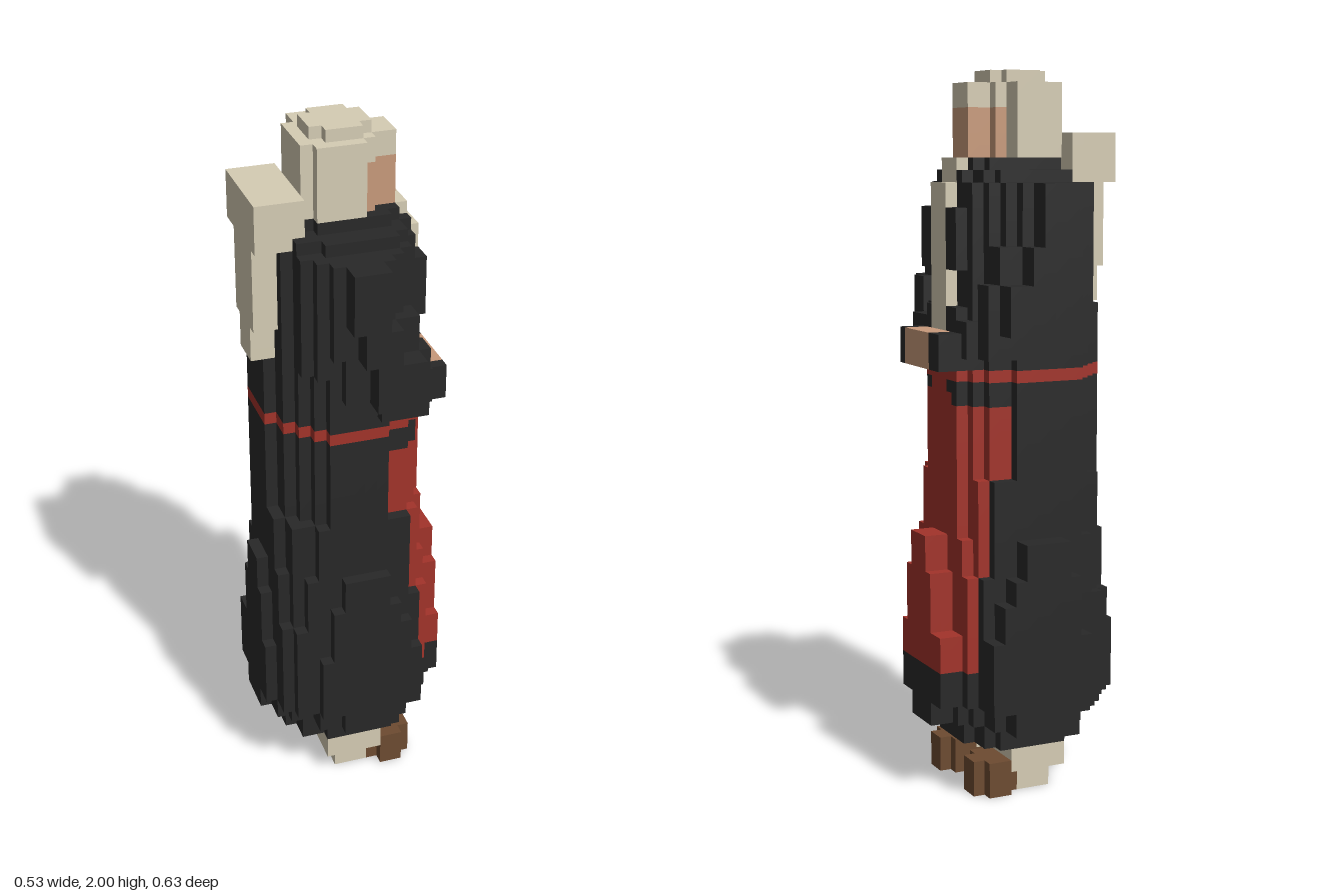
import * as THREE from 'three';

// One block is 1/30 unit; x and y lie on whole blocks, z on half blocks.
const U = 1 / 30;
const mat = (name, color) => {
  const m = new THREE.MeshStandardMaterial({ color });
  m.name = name;
  return m;
};

// Corner directions of the six block faces, counter-clockwise from outside
const FACES = [[1, 0, 0], [-1, 0, 0], [0, 1, 0], [0, -1, 0], [0, 0, 1], [0, 0, -1]].map((n) => {
  const a = n.findIndex((v) => v !== 0);
  const u = [0, 0, 0], v = [0, 0, 0];
  u[(a + 1) % 3] = 1;
  v[(a + 2) % 3] = n[a];
  const corners = [[-1, -1], [1, -1], [1, 1], [-1, -1], [1, 1], [-1, 1]];
  return { n, corners: corners.map(([s, t]) => n.map((c, i) => (c + s * u[i] + t * v[i]) / 2)) };
});

export function createModel() {
  const cloth = mat('dark cloth', 0x282828);
  const cream = mat('cream', 0xd5ccb4);
  const red = mat('red cloth', 0xa2332a);
  const skin = mat('skin', 0xc89a7b);
  const brown = mat('brown leather', 0x6d4b31);
  const partMaterial = {
    shoes: brown, legs: cream, robe: cloth, frontPanel: red, belt: red, torso: cloth,
    sleeves: cloth, forearms: cloth, collar: cream, hands: skin, backHood: cream, head: cream, face: skin,
  };

  const grid = new Map();
  const key = (x, y, z) => `${x},${y},${z}`;

  // Fill a box of blocks; a later part replaces an earlier one
  function fill(part, x0, x1, y0, y1, z0, z1) {
    for (let x = x0; x < x1; x++)
      for (let y = y0; y < y1; y++)
        for (let z = z0 + 0.5; z < z1; z++) grid.set(key(x, y, z), { part, x, y, z });
  }
  // A layer built from crossing strips [x0, x1, reach to -z, reach to +z]
  const layer = (part, y0, y1, strips) =>
    strips.forEach(([x0, x1, back, front = back]) => fill(part, x0, x1, y0, y1, -back, front));
  // A box repeated on both z sides
  const pair = (part, x0, x1, y0, y1, z0, z1) => {
    fill(part, x0, x1, y0, y1, z0, z1);
    fill(part, x0, x1, y0, y1, -z1, -z0);
  };
  // Change the part of blocks that are already filled
  const recolour = (part, x0, y0, y1, h) => grid.forEach((b) => {
    if (b.x >= x0 && b.y >= y0 && b.y < y1 && Math.abs(b.z) < h) b.part = part;
  });

  // Legs and shoes
  pair('legs', -2, 1, 0, 4, 2.5, 4.5);
  pair('legs', -3, 2, 2, 4, 1.5, 5.5);
  pair('shoes', 1, 5, 0, 3, 2.5, 4.5);
  pair('shoes', 2, 4, 0, 3, 1.5, 5.5);

  // Hem and flared skirt of the robe, with a raised fold on each of four sides
  const waist = [[-7, 6, 3.5, 1.5], [-6, 5, 4.5, 3.5], [-5, 4, 5.5, 4.5], [-4, 2, 6.5, 5.5],
    [-3, 2, 6.5], [0, 6, 2.5], [0, 5, 4.5], [0, 4, 5.5]];
  layer('robe', 3, 4, [[-2, 2, 1.5]]);
  layer('robe', 4, 6, [[-6, 5, 2.5], [-5, 4, 4.5], [-3, 3, 5.5]]);
  layer('robe', 6, 8, [[-8, 8, 2.5, 1.5], [-7, 6, 3.5], [-6, 5, 4.5], [-4, 4, 6.5], [-2, 3, 8.5, 7.5]]);
  layer('robe', 8, 14, [[-8, 8, 4.5, 3.5], [-7, 6, 5.5], [-6, 5, 6.5], [-4, 5, 8.5, 7.5]]);
  layer('robe', 14, 17, [[-8, 8, 2.5], [-7, 6, 5.5], [-6, 5, 6.5], [-3, 4, 8.5, 7.5]]);
  layer('robe', 17, 19, [[-8, 8, 2.5], [-7, 6, 4.5], [-6, 6, 5.5], [-5, 5, 6.5], [-3, 3, 8.5, 7.5]]);
  layer('robe', 19, 22, [[-8, 8, 1.5], [-7, 6, 4.5], [-6, 5, 5.5], [-5, 4, 6.5], [-2, 2, 8.5, 7.5]]);
  layer('robe', 22, 27, [[-7, 6, 3.5], [-6, 5, 5.5], [-4, 4, 6.5]]);
  layer('robe', 27, 35, waist);

  // Red front panel and belt
  recolour('frontPanel', 5, 11, 19, 5.5);
  recolour('frontPanel', 4, 19, 27, 5.5);
  recolour('frontPanel', 2, 27, 33, 5.5);
  recolour('frontPanel', 4, 33, 34, 2.5);
  recolour('frontPanel', 4, 34, 35, 1.5);
  layer('belt', 35, 36, waist);

  // Torso and shoulders
  layer('torso', 36, 41, waist);
  layer('torso', 41, 51, [[-6, 5, 4.5, 3.5], [-5, 4, 5.5], [-4, 3, 6.5]]);
  layer('torso', 51, 52, [[-6, 5, 2.5], [-5, 4, 4.5], [-3, 3, 5.5]]);
  layer('torso', 52, 53, [[-4, 4, 2.5], [-3, 3, 3.5]]);

  // Sleeves running from the shoulders down and forward to the joined hands
  pair('sleeves', -3, 2, 46, 51, 5.5, 7.5);
  pair('sleeves', -2, 1, 46, 51, 7.5, 9.5);
  pair('sleeves', -3, 4, 43, 46, 5.5, 7.5);
  pair('sleeves', -1, 2, 43, 46, 7.5, 9.5);
  pair('sleeves', -2, 5, 39, 43, 5.5, 7.5);
  pair('sleeves', 0, 4, 39, 43, 7.5, 9.5);
  pair('sleeves', 1, 5, 37, 39, 5.5, 7.5);
  pair('sleeves', 4, 6, 44, 49, 1.5, 3.5);
  pair('sleeves', 2, 6, 37, 40, 1.5, 5.5);
  fill('forearms', 5, 8, 36, 39, -4.5, 3.5);
  fill('hands', 6, 8, 36, 39, -2.5, 2.5);

  // Collar strip down the chest
  layer('collar', 39, 51, [[4, 6, 1.5]]);
  layer('collar', 51, 53, [[3, 5, 1.5]]);

  // Hood lying on the back
  fill('backHood', -8, -4, 51, 55, -4.5, 3.5);
  layer('backHood', 44, 51, [[-8, -6, 2.5]]);
  layer('backHood', 41, 44, [[-8, -6, 1.5]]);

  // Head with the face set in front
  layer('head', 53, 59, [[-4, 2, 2.5], [2, 4, 1.5], [-3, 1, 4.5, 3.5]]);
  layer('head', 59, 60, [[-3, 2, 1.5], [-2, 1, 2.5]]);
  layer('face', 53, 57, [[1, 2, 2.5], [2, 4, 1.5]]);

  // Gather the exposed block faces of each part
  const points = {};
  grid.forEach(({ part, x, y, z }) => {
    const list = (points[part] ??= []);
    for (const { n, corners } of FACES) {
      if (grid.has(key(x + n[0], y + n[1], z + n[2]))) continue;
      for (const c of corners) list.push((x + 0.5 + c[0]) * U, (y + 0.5 + c[1]) * U, (z + c[2]) * U);
    }
  });

  const model = new THREE.Group();
  model.name = 'robedFigure';
  for (const [name, list] of Object.entries(points)) {
    const geometry = new THREE.BufferGeometry();
    geometry.setAttribute('position', new THREE.Float32BufferAttribute(list, 3));
    geometry.computeVertexNormals();
    const mesh = new THREE.Mesh(geometry, partMaterial[name]);
    mesh.name = name;
    model.add(mesh);
  }
  return model;
}
